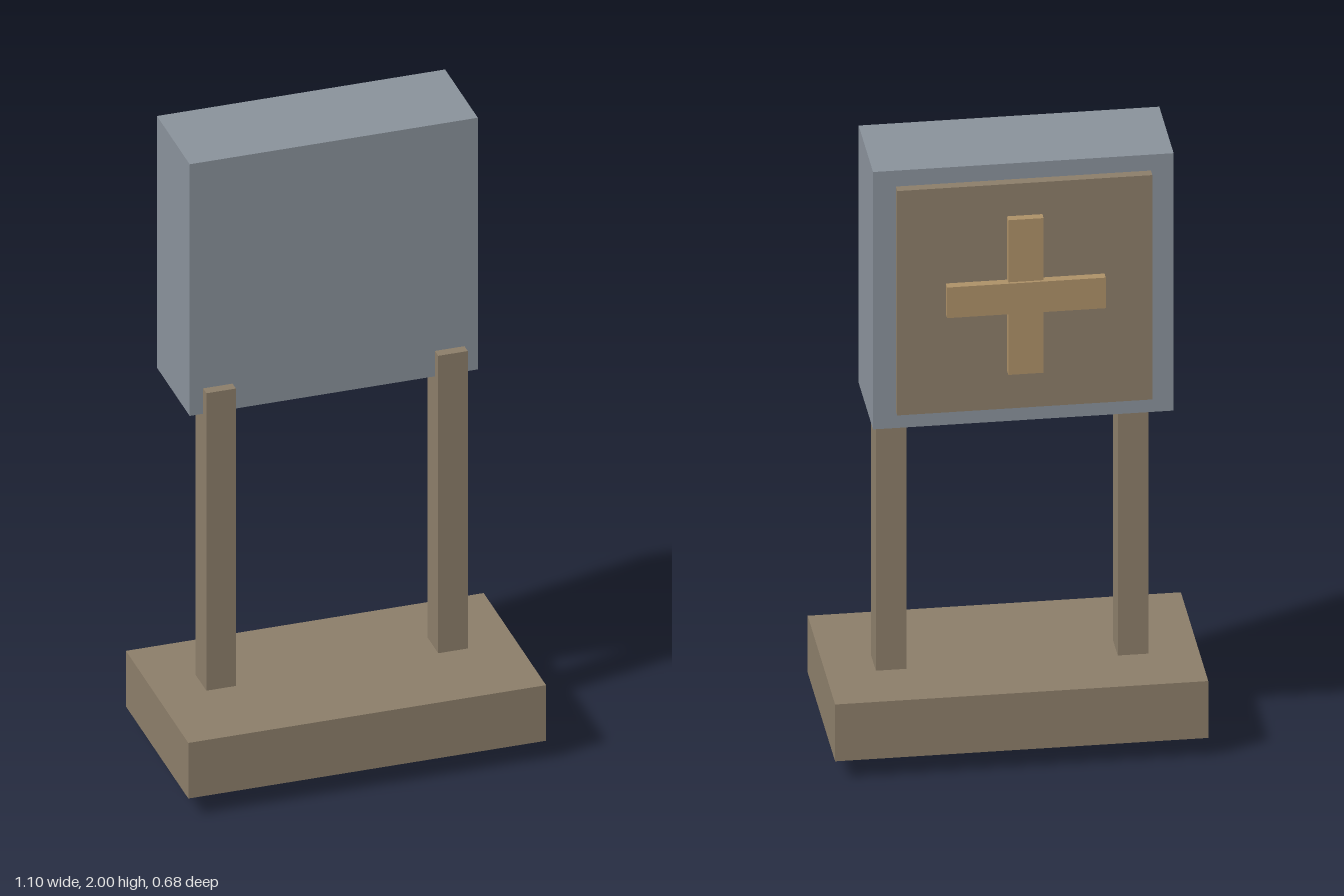
import * as THREE from 'three';

const material = (name, color) => {
  const m = new THREE.MeshStandardMaterial({ color });
  m.name = name;
  return m;
};

// Box given by its extents along each axis
function slab(name, mat, [x0, x1], [y0, y1], [z0, z1]) {
  const mesh = new THREE.Mesh(new THREE.BoxGeometry(x1 - x0, y1 - y0, z1 - z0), mat);
  mesh.position.set((x0 + x1) / 2, (y0 + y1) / 2, (z0 + z1) / 2);
  mesh.name = name;
  return mesh;
}

export function createModel() {
  const wood = material('weatheredWood', 0x8b7d69);
  const paleWood = material('paleWood', 0xac9067);
  const grey = material('blueGrey', 0x89919a);
  const model = new THREE.Group();
  model.name = 'standingCabinet';

  // Plinth, pierced by the two posts
  model.add(slab('base', wood, [-0.55, 0.55], [0.062, 0.248], [-0.24, 0.34]));
  model.add(slab('leftPost', wood, [0.311, 0.402], [0, 1.243], [-0.04, 0.06]));
  model.add(slab('rightPost', wood, [-0.402, -0.311], [0, 1.243], [-0.04, 0.06]));

  // Cabinet with its back panel
  model.add(slab('cabinet', grey, [-0.443, 0.443], [1.158, 2], [-0.275, 0.029]));
  model.add(slab('backPanel', wood, [-0.376, 0.376], [1.214, 1.948], [-0.305, -0.27]));

  // Crossed battens on the panel
  model.add(slab('uprightBatten', paleWood, [-0.052, 0.052], [1.337, 1.843], [-0.331, -0.303]));
  model.add(slab('crossBatten', paleWood, [-0.234, 0.234], [1.54, 1.64], [-0.34, -0.313]));

  return model;
}
